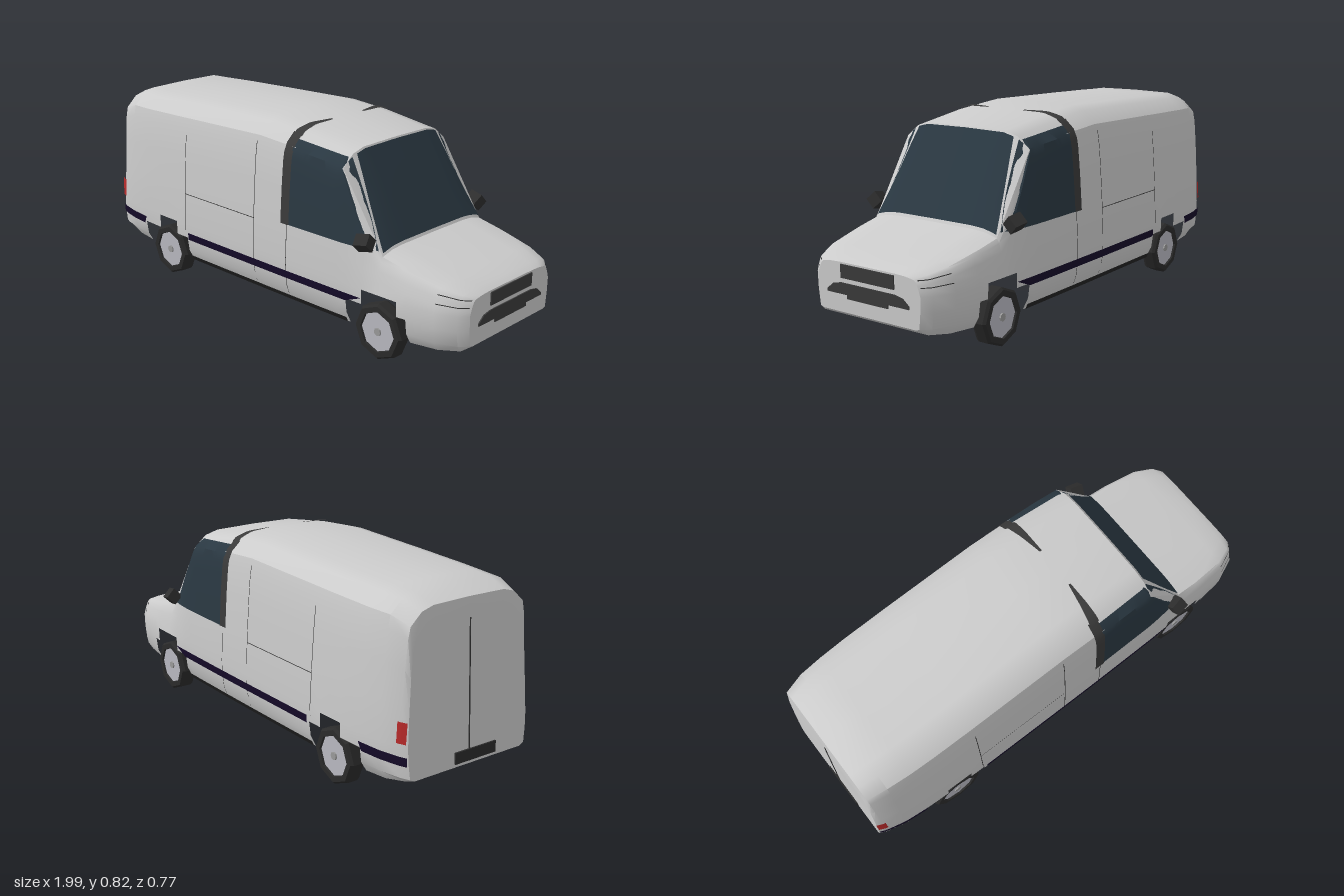
import * as THREE from 'three';
import { toCreasedNormals } from 'three/addons/utils/BufferGeometryUtils.js';

const BODY = 0xcccccc, GLASS = 0x2a3842, DARK = 0x3a3a3a, STRIPE = 0x140a28, RED = 0xb82a2a;
const mat = (color, opts = {}) => new THREE.MeshStandardMaterial({ color, ...opts });

// Stations along the van: x, floor height, roof (or hood) height, half width
const STATIONS = [
  [-0.99, 0.14, 0.70, 0.29], [-0.955, 0.13, 0.765, 0.305], [-0.87, 0.115, 0.795, 0.325],
  [-0.77, 0.11, 0.798, 0.335], [-0.66, 0.105, 0.803, 0.34], [-0.54, 0.105, 0.807, 0.342],
  [-0.47, 0.10, 0.81, 0.343], [-0.03, 0.10, 0.825, 0.345], [0.15, 0.10, 0.812, 0.345],
  [0.42, 0.10, 0.775, 0.343], [0.47, 0.10, 0.689, 0.342], [0.55, 0.10, 0.551, 0.34],
  [0.62, 0.10, 0.43, 0.339], [0.72, 0.105, 0.407, 0.337], [0.76, 0.107, 0.398, 0.333],
  [0.88, 0.115, 0.37, 0.32], [0.96, 0.125, 0.35, 0.285], [0.99, 0.145, 0.335, 0.25],
];
// Half profile of the widest section: z, y
const PROFILE = [
  [0.335, 0.15], [0.343, 0.21], [0.345, 0.27], [0.337, 0.43], [0.327, 0.58],
  [0.316, 0.70], [0.305, 0.75], [0.25, 0.80], [0.19, 0.817], [0, 0.82],
];

// Half section at one station, from floor centre round to roof centre
function section([, floor, roof, w]) {
  const k = w / 0.345, lift = (roof - 0.27) / 0.55;
  const upper = PROFILE.map(([z, y]) => [z * k, y > 0.27 ? 0.27 + (y - 0.27) * lift : y]);
  return [[0, floor], [0.31 * k, floor], ...upper];
}

function sectionAt(x) {
  let i = 0;
  while (i < STATIONS.length - 2 && x > STATIONS[i + 1][0]) i++;
  const a = STATIONS[i], b = STATIONS[i + 1];
  const t = THREE.MathUtils.clamp((x - a[0]) / (b[0] - a[0]), 0, 1);
  return section(a.map((v, n) => v + (b[n] - v) * t));
}

// Look up the body surface: z at (x, y), and top height at (x, z)
function sideZ(x, y) {
  const s = sectionAt(x);
  for (let j = 1; j < s.length - 1; j++) {
    if (y <= s[j + 1][1]) {
      const t = Math.max(0, (y - s[j][1]) / (s[j + 1][1] - s[j][1]));
      return s[j][0] + (s[j + 1][0] - s[j][0]) * t;
    }
  }
  return 0;
}
function topY(x, z) {
  const s = sectionAt(x);
  for (let j = s.length - 1; j > 4; j--) {
    if (z <= s[j - 1][0]) {
      const t = (z - s[j][0]) / (s[j - 1][0] - s[j][0]);
      return s[j][1] + (s[j - 1][1] - s[j][1]) * t;
    }
  }
  return s[4][1];
}

const geometryFrom = (positions) => {
  const g = new THREE.BufferGeometry();
  g.setAttribute('position', new THREE.Float32BufferAttribute(positions, 3));
  return g;
};
function pushQuad(out, a, b, c, d, flip) {
  const order = flip ? [a, c, b, a, d, c] : [a, b, c, a, c, d];
  order.forEach((p) => out.push(...p));
}

// Lofted shell with stepped wheel arch openings and flat ends
function bodyGeometry() {
  const out = [], last = STATIONS.length - 1;
  const rings = STATIONS.map((st, i) => section(st).map(([z, y]) =>
    [i === 0 ? st[0] + 0.05 * (y - 0.14) : st[0], y, z]));
  const inArch = (i, j) => {
    const x = (STATIONS[i][0] + STATIONS[i + 1][0]) / 2;
    const wide = (x > -0.77 && x < -0.47) || (x > 0.47 && x < 0.76);
    const tall = (x > -0.66 && x < -0.54) || (x > 0.55 && x < 0.72);
    return (wide && (j === 1 || j === 2)) || (tall && j === 3);
  };
  for (const s of [1, -1]) {
    const P = (i, j) => [rings[i][j][0], rings[i][j][1], rings[i][j][2] * s];
    for (let j = 0; j < rings[0].length - 1; j++) {
      for (let i = 0; i < last; i++) {
        if (!inArch(i, j)) pushQuad(out, P(i, j), P(i + 1, j), P(i + 1, j + 1), P(i, j + 1), s < 0);
      }
      for (const i of [0, last]) {
        const mid = (n) => [rings[i][n][0], rings[i][n][1], 0];
        pushQuad(out, mid(j), P(i, j), P(i, j + 1), mid(j + 1), (i === 0) === (s > 0) ? false : true);
      }
    }
  }
  // The end quads above face along x; orient them outward
  for (let n = 0; n < out.length; n += 9) {
    const x = out[n], flat = Math.abs(out[n + 3] - x) < 0.04 && Math.abs(out[n + 6] - x) < 0.04;
    if (!flat || Math.abs(x) < 0.955) continue;
    const [a, b, c] = [0, 3, 6].map((k) => new THREE.Vector3().fromArray(out, n + k));
    const normal = b.clone().sub(a).cross(c.clone().sub(a)).normalize();
    if (Math.abs(normal.x) > 0.9 && normal.x * x < 0) {
      out.splice(n + 3, 6, ...c.toArray(), ...b.toArray());
    }
  }
  return toCreasedNormals(geometryFrom(out), 0.6);
}

// Panel laid on the body: four corners in (x, y) on the side or (x, z) on top, on both halves
function panel(group, name, kind, corners, color, lift = 0.004) {
  const N = 10, [c0, c1, c2, c3] = corners;
  const at = (u, v, n) => (c0[n] * (1 - u) + c1[n] * u) * (1 - v) + (c3[n] * (1 - u) + c2[n] * u) * v;
  for (const s of [1, -1]) {
    const out = [];
    const P = (i, j) => {
      const a = at(i / N, j / N, 0), b = at(i / N, j / N, 1);
      return kind === 'side' ? [a, b, s * (sideZ(a, b) + lift)] : [a + lift * 0.7, topY(a, b) + lift, s * b];
    };
    for (let i = 0; i < N; i++) for (let j = 0; j < N; j++) {
      pushQuad(out, P(i, j), P(i + 1, j), P(i + 1, j + 1), P(i, j + 1), s < 0);
    }
    const mesh = new THREE.Mesh(toCreasedNormals(geometryFrom(out), 0.6), mat(color));
    mesh.name = name + (s > 0 ? 'Right' : 'Left');
    group.add(mesh);
  }
}
const rect = (x0, y0, x1, y1) => [[x0, y0], [x1, y0], [x1, y1], [x0, y1]];

function box(group, name, size, pos, color) {
  const mesh = new THREE.Mesh(new THREE.BoxGeometry(...size), mat(color));
  mesh.position.set(...pos);
  mesh.name = name;
  group.add(mesh);
  return mesh;
}

function wheel(x, s) {
  const g = new THREE.Group();
  g.name = (x > 0 ? 'front' : 'rear') + 'Wheel' + (s > 0 ? 'Right' : 'Left');
  const profile = [[0.08, -0.03], [0.108, -0.033], [0.115, -0.02], [0.115, 0.022], [0.106, 0.033], [0.084, 0.033], [0.08, 0.02]];
  const tyre = new THREE.Mesh(
    new THREE.LatheGeometry(profile.map((p) => new THREE.Vector2(...p)), 8),
    mat(0x2a2a2a, { flatShading: true, side: THREE.DoubleSide }));
  tyre.name = 'tyre';
  const rim = new THREE.Mesh(new THREE.CylinderGeometry(0.084, 0.084, 0.05, 16), mat(0xb8b8c0, { flatShading: true }));
  rim.name = 'rim';
  const cap = new THREE.Mesh(new THREE.CylinderGeometry(0.016, 0.02, 0.062, 8), mat(0x999999, { flatShading: true }));
  cap.name = 'hubCap';
  g.add(tyre, rim, cap);
  g.rotation.x = s * Math.PI / 2;
  g.position.set(x, 0.115, s * 0.3);
  return g;
}

export function createModel() {
  const van = new THREE.Group();
  van.name = 'van';
  const body = new THREE.Mesh(bodyGeometry(), mat(BODY));
  body.name = 'body';
  van.add(body);

  // Glass and the dark band behind the cab
  panel(van, 'sideWindow', 'side', [[0.16, 0.43], [0.605, 0.43], [0.425, 0.745], [0.16, 0.77]], GLASS);
  panel(van, 'windscreen', 'top', [[0.425, 0.235], [0.615, 0.295], [0.615, 0], [0.425, 0]], GLASS);
  panel(van, 'cabPillar', 'side', rect(0.12, 0.43, 0.165, 0.79), DARK, 0.007);
  panel(van, 'cabRoofBand', 'top', [[0.12, 0.27], [0.165, 0.27], [0.165, 0.09], [0.155, 0.09]], DARK, 0.007);

  // Side stripe, sill, lamps and door seams
  panel(van, 'rearStripe', 'side', [[-0.985, 0.2], [-0.78, 0.2], [-0.765, 0.235], [-0.985, 0.235]], STRIPE);
  panel(van, 'sideStripe', 'side', [[-0.46, 0.203], [0.47, 0.203], [0.55, 0.235], [-0.46, 0.235]], STRIPE);
  panel(van, 'sill', 'side', rect(-0.465, 0.1, 0.46, 0.122), 0x222222);
  panel(van, 'tailLamp', 'side', rect(-0.982, 0.285, -0.945, 0.365), RED, 0.006);
  const seams = [[-0.48, 0.24, -0.48, 0.67], [-0.04, 0.13, -0.04, 0.73], [0.15, 0.13, 0.15, 0.43], [-0.48, 0.41, -0.04, 0.41],
    [0.88, 0.305, 0.985, 0.3], [0.88, 0.338, 0.985, 0.325]];
  for (const [x0, y0, x1, y1] of seams) {
    const t = 0.0015, upright = x0 === x1;
    panel(van, 'seam', 'side', upright ? rect(x0 - t, y0, x0 + t, y1)
      : [[x0, y0 - t], [x1, y1 - t], [x1, y1 + t], [x0, y0 + t]], 0x333333, 0.002);
  }

  // Nose openings
  box(van, 'grille', [0.012, 0.052, 0.26], [0.989, 0.302, 0], DARK);
  const intake = new THREE.Shape([[-0.2, 0.215], [-0.1, 0.215], [-0.1, 0.2], [0.1, 0.2], [0.1, 0.215], [0.2, 0.215],
    [0.2, 0.225], [0.17, 0.25], [0.13, 0.258], [-0.13, 0.258], [-0.17, 0.25], [-0.2, 0.225]].map((p) => new THREE.Vector2(...p)));
  const lower = new THREE.Mesh(new THREE.ExtrudeGeometry(intake, { depth: 0.012, bevelEnabled: false }), mat(DARK));
  lower.name = 'lowerIntake';
  lower.rotation.y = Math.PI / 2;
  lower.position.x = 0.983;
  van.add(lower);

  // Rear doors
  const doorSeam = box(van, 'rearDoorSeam', [0.004, 0.54, 0.004], [-0.977, 0.42, 0], 0x333333);
  doorSeam.rotation.z = -0.05;
  box(van, 'rearPlate', [0.014, 0.045, 0.2], [-0.987, 0.175, 0.03], 0x2a2a2a);

  for (const s of [1, -1]) {
    const mirror = box(van, 'mirror' + (s > 0 ? 'Right' : 'Left'), [0.06, 0.05, 0.05], [0.565, 0.463, s * 0.343], 0x2e2e2e);
    mirror.rotation.set(Math.PI / 4, s * 0.25, 0);
    van.add(wheel(-0.61, s), wheel(0.625, s));
  }
  return van;
}
